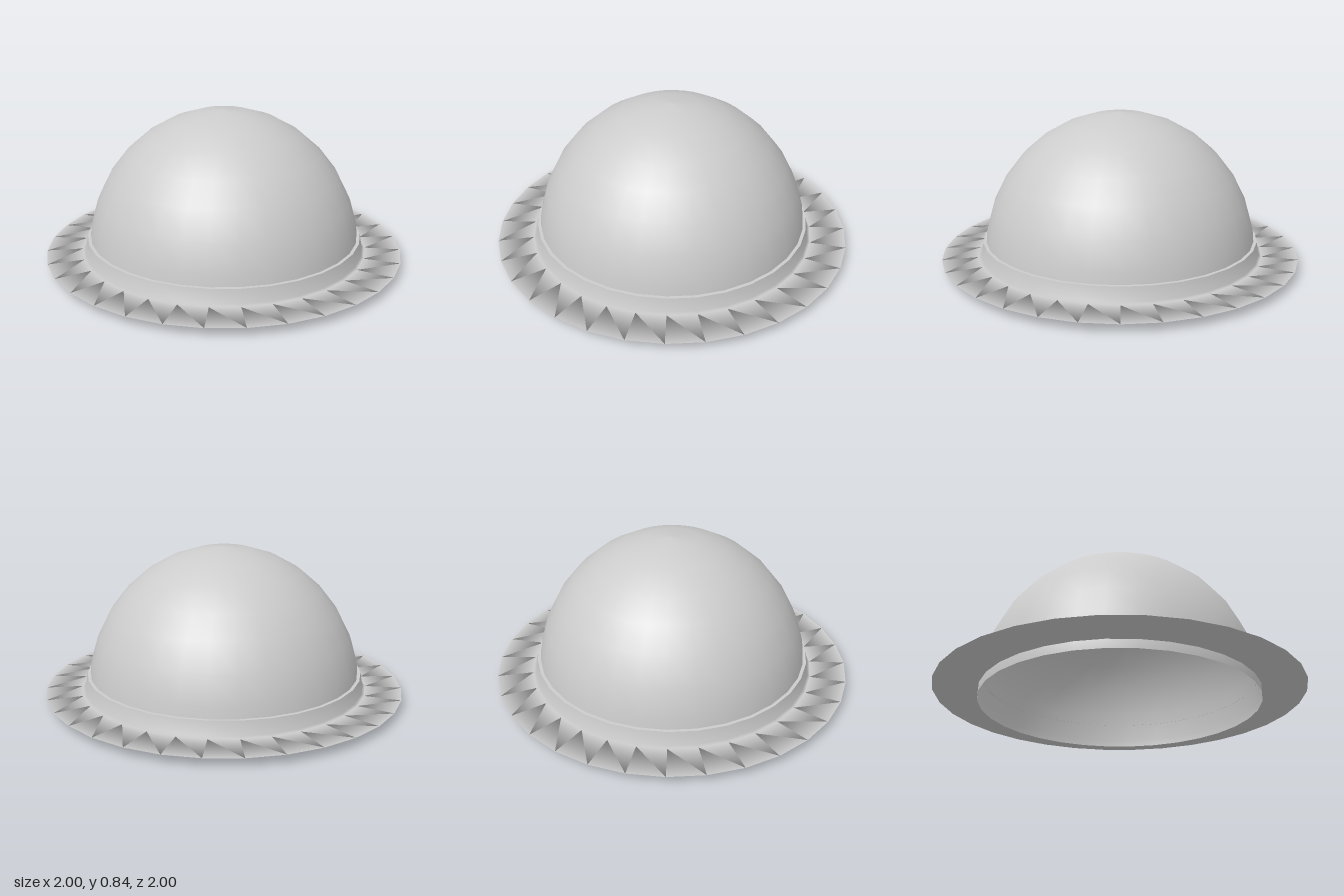
import * as THREE from 'three';

const SEGMENTS = 32;
const material = new THREE.MeshStandardMaterial({ color: 0xcccccc, side: THREE.DoubleSide });

// Revolves [radius, height] pairs, listed so the surface faces outward
function revolve(name, profile) {
  const points = profile.map(([r, y]) => new THREE.Vector2(r, y));
  const mesh = new THREE.Mesh(new THREE.LatheGeometry(points, SEGMENTS), material);
  mesh.name = name;
  return mesh;
}

export function createModel() {
  const hat = new THREE.Group();
  hat.name = 'domedHat';

  // Hollow crown: short straight rim below a slightly tall hemisphere
  const crown = [[0.762, 0]];
  const steps = 8;
  for (let i = 0; i <= steps; i++) {
    const a = (i / steps) * Math.PI / 2;
    crown.push([i === steps ? 0 : 0.762 * Math.cos(a), 0.04 + 0.8 * Math.sin(a)]);
  }
  hat.add(revolve('crown', crown));

  // Thin brim that turns up into the band around the crown
  hat.add(revolve('brim', [
    [0.762, 0.046], [1, 0.049], [0.8, 0.052], [0.785, 0.06], [0.771, 0.135],
  ]));

  // Flat lip closing the band against the crown
  hat.add(revolve('bandLip', [[0.771, 0.135], [0.752, 0.135]]));

  return hat;
}
